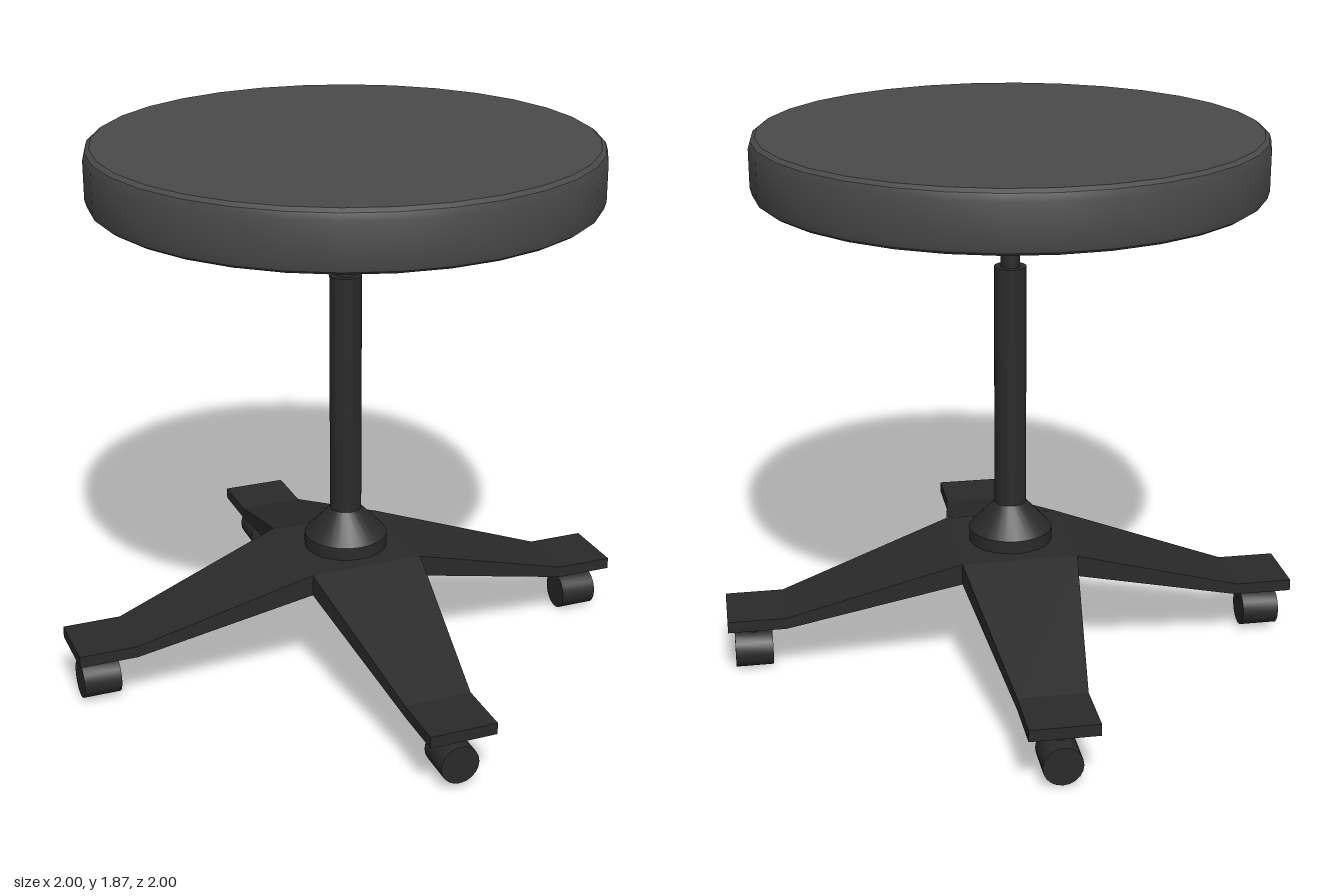
import * as THREE from 'three';
import { toCreasedNormals } from 'three/addons/utils/BufferGeometryUtils.js';

const seatMaterial = new THREE.MeshStandardMaterial({ color: 0x4a4a4a });
const frameMaterial = new THREE.MeshStandardMaterial({ color: 0x2a2a2a });

function addMesh(parent, name, geometry, material) {
  const mesh = new THREE.Mesh(geometry, material);
  mesh.name = name;
  parent.add(mesh);
  return mesh;
}

// Turned part from [radius, y] points listed bottom to top
function turned(points, sides) {
  const profile = points.map(([r, y]) => new THREE.Vector2(r, y));
  return toCreasedNormals(new THREE.LatheGeometry(profile, sides), 0.5);
}

// Tapering arm along +z: a quarter of the central plate, a slope and a flat foot
function armGeometry() {
  // z, half width, top y, bottom y
  const sections = [
    [0, 0, 0.42, 0.345],
    [0.2, 0.2, 0.42, 0.345],
    [0.8, 0.115, 0.225, 0.185],
    [1, 0.115, 0.225, 0.185],
  ];
  const positions = [];
  const index = [];
  for (const [z, w, top, bottom] of sections) {
    positions.push(-w, bottom, z, w, bottom, z, w, top, z, -w, top, z);
  }
  const quad = (a, b, c, d) => index.push(a, b, c, a, c, d);
  for (let s = 0; s < sections.length - 1; s++) {
    const a = s * 4;
    const b = a + 4;
    for (let i = 0; i < 4; i++) {
      // The sides of the central quarter touch the next arm and stay open
      if (s === 0 && i % 2 === 1) continue;
      const j = (i + 1) % 4;
      quad(a + i, a + j, b + j, b + i);
    }
  }
  quad(12, 13, 14, 15); // end of the foot
  const geometry = new THREE.BufferGeometry();
  geometry.setAttribute('position', new THREE.Float32BufferAttribute(positions, 3));
  geometry.setIndex(index);
  const flat = geometry.toNonIndexed();
  flat.computeVertexNormals();
  return flat;
}

export function createModel() {
  const stool = new THREE.Group();
  stool.name = 'stool';

  // Round cushion with softened rims
  addMesh(stool, 'seat', turned([
    [0, 1.675], [0.828, 1.675], [0.843, 1.685], [0.85, 1.71],
    [0.85, 1.838], [0.843, 1.862], [0.828, 1.873], [0, 1.873],
  ], 32), seatMaterial);

  // Telescopic column
  addMesh(stool, 'piston', turned([[0.033, 1.38], [0.033, 1.68]], 24), frameMaterial);
  addMesh(stool, 'column', turned([
    [0.055, 0.5], [0.055, 1.41], [0, 1.41],
  ], 24), frameMaterial);

  // Conical collar on the base
  addMesh(stool, 'collar', turned([
    [0.145, 0.41], [0.145, 0.465], [0.055, 0.56], [0, 0.56],
  ], 24), frameMaterial);

  // Four arms with casters; the wheels sit at slightly different heights
  const arm = armGeometry();
  const wheel = toCreasedNormals(new THREE.CylinderGeometry(0.066, 0.066, 0.13, 20), 0.5);
  wheel.rotateX(Math.PI / 2);
  const stem = new THREE.CylinderGeometry(0.017, 0.017, 0.12, 12);
  const wheelHeights = [0.084, 0.068, 0.073, 0.077]; // front, left, back, right
  wheelHeights.forEach((height, i) => {
    const leg = new THREE.Group();
    leg.name = 'leg';
    leg.rotation.y = i * Math.PI / 2;
    stool.add(leg);
    addMesh(leg, 'arm', arm, frameMaterial);
    addMesh(leg, 'casterStem', stem, frameMaterial).position.set(0, 0.135, 0.912);
    addMesh(leg, 'casterWheel', wheel, frameMaterial).position.set(0, height, 0.912);
  });

  return stool;
}
